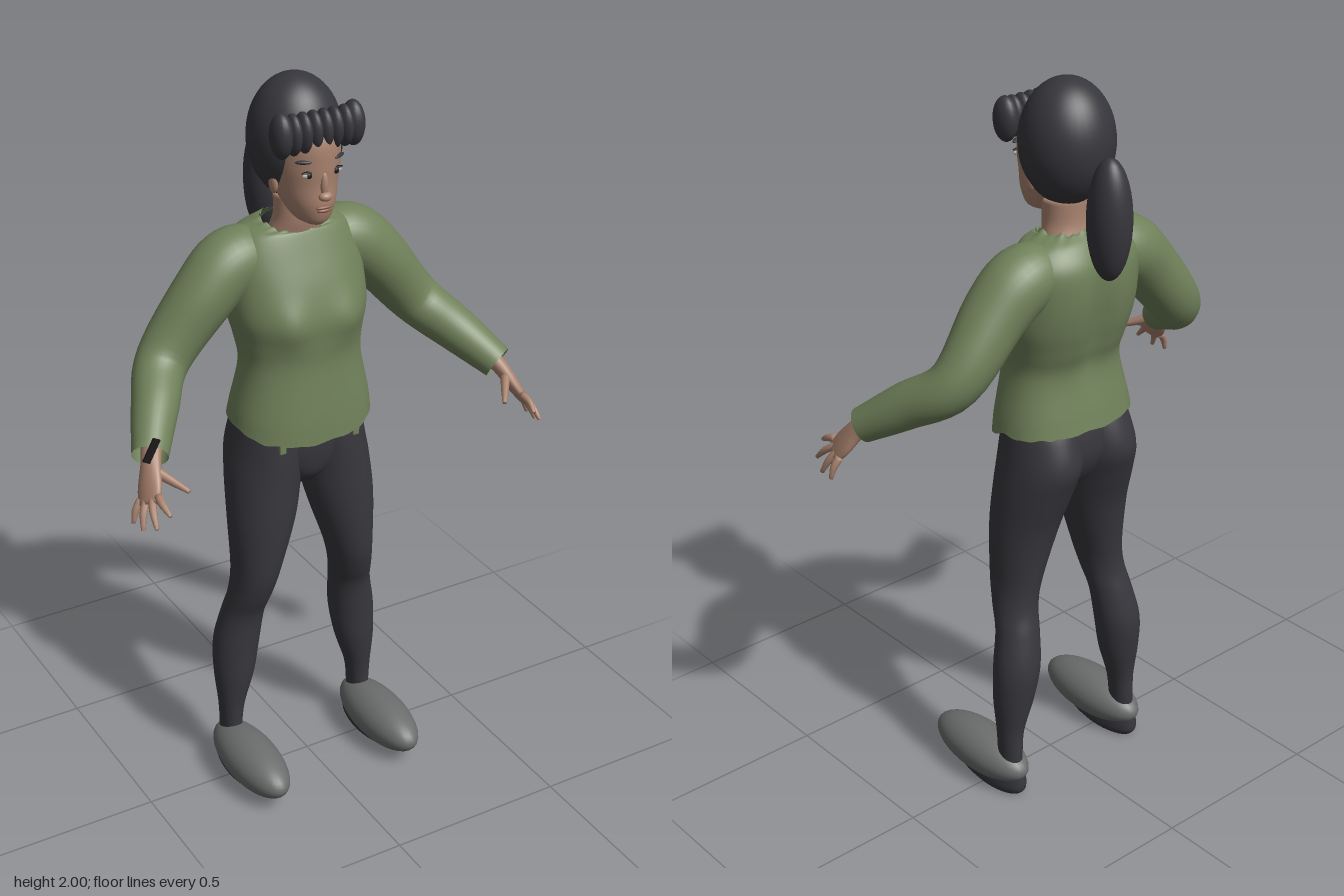
import * as THREE from 'three';

const paint = (name, color, side = THREE.FrontSide) => {
  const m = new THREE.MeshStandardMaterial({ color, side });
  m.name = name;
  return m;
};

// Smoothly resample rows of numbers, each span split into n steps
function smoothRows(rows, n) {
  const size = rows[0].length;
  const spline = new THREE.CubicInterpolant(
    new Float32Array(rows.map((_, i) => i)), new Float32Array(rows.flat()), size);
  const out = [];
  for (let i = 0; i <= (rows.length - 1) * n; i++) out.push(Array.from(spline.evaluate(i / n)));
  return out;
}

// Skin a list of closed rings of points, optionally closing the ends
function skin(rings, capStart = true, capEnd = true) {
  const k = rings[0].length, pos = [], idx = [];
  rings.forEach(r => r.forEach(p => pos.push(p.x, p.y, p.z)));
  for (let i = 0; i < rings.length - 1; i++) for (let j = 0; j < k; j++) {
    const a = i * k + j, b = i * k + (j + 1) % k, c = b + k, d = a + k;
    idx.push(a, b, c, a, c, d);
  }
  const cap = (ring, start, flip) => {
    const c = ring.reduce((s, p) => s.add(p), new THREE.Vector3()).divideScalar(k);
    const m = pos.push(c.x, c.y, c.z) / 3 - 1;
    for (let j = 0; j < k; j++) {
      const a = start + j, b = start + (j + 1) % k;
      idx.push(m, flip ? b : a, flip ? a : b);
    }
  };
  if (capStart) cap(rings[0], 0, true);
  if (capEnd) cap(rings[rings.length - 1], (rings.length - 1) * k, false);
  const g = new THREE.BufferGeometry();
  g.setAttribute('position', new THREE.Float32BufferAttribute(pos, 3));
  g.setIndex(idx);
  g.computeVertexNormals();
  return g;
}

// Horizontal sections from bottom to top: [y, centreX, halfWidth, frontZ, backZ, frontDrop, raggedness]
function loft(rows, { power = 1, warp, caps = true, sides = 40 } = {}) {
  const bend = v => Math.sign(v) * Math.abs(v) ** power;
  return skin(smoothRows(rows, 5).map(([y, cx, rx, zf, zb, drop = 0, rag = 0]) =>
    Array.from({ length: sides }, (_, j) => {
      const t = j / sides * Math.PI * 2, c = Math.cos(t);
      const p = new THREE.Vector3(cx + rx * bend(Math.sin(t)),
        y - drop * Math.max(0, c) + rag * Math.sin(t * 13) * Math.cos(t * 4),
        (zf + zb) / 2 + (zf - zb) / 2 * bend(c));
      if (warp) warp(p, c);
      return p;
    })), caps, caps);
}

// Oval tube along a path: [x, y, z, radius along hint, radius across]
function limb(rows, hint, { caps = true, sides = 20, steps = 6 } = {}) {
  const fine = smoothRows(rows, steps);
  const at = i => new THREE.Vector3(...fine[Math.min(Math.max(i, 0), fine.length - 1)].slice(0, 3));
  return skin(fine.map(([, , , ra, rb], i) => {
    const t = at(i + 1).sub(at(i - 1)).normalize();
    const u = hint.clone().addScaledVector(t, -hint.dot(t)).normalize();
    const v = u.clone().cross(t);
    return Array.from({ length: sides }, (_, j) => {
      const a = j / sides * Math.PI * 2;
      return at(i).addScaledVector(u, ra * Math.sin(a)).addScaledVector(v, rb * Math.cos(a));
    });
  }), caps, caps);
}

export function createModel() {
  const model = new THREE.Group();
  const green = paint('sweater green', 0x70815a, THREE.DoubleSide);
  const dark = paint('trouser charcoal', 0x38373d);
  const hairMat = paint('hair black', 0x36363c);
  const skinMat = paint('skin', 0xa9836f);
  const grey = paint('shoe grey', 0x6b6e6d);
  const lipMat = paint('lip brown', 0x8c6052);
  const white = paint('eye white', 0xb9aaa0);
  const black = paint('iris black', 0x1c191b);

  const add = (name, geometry, material) => {
    const m = new THREE.Mesh(geometry, material);
    m.name = name;
    model.add(m);
    return m;
  };
  const ball = (name, mat, [x, y, z], [a, b, c], detail = 24) => {
    const m = add(name, new THREE.SphereGeometry(1, detail, Math.ceil(detail * 0.7)), mat);
    m.position.set(x, y, z);
    m.scale.set(a, b, c);
    return m;
  };

  // Sweater body with chest and spine shaping, open at hem and collar
  add('sweaterBody', loft([
    [1.095, 0, 0.198, 0.09, -0.18, 0.05, 0.004], [1.14, 0, 0.19, 0.086, -0.172, 0.02, 0],
    [1.25, 0, 0.166, 0.075, -0.155, 0, 0], [1.32, 0, 0.172, 0.078, -0.175, 0, 0],
    [1.39, 0, 0.187, 0.08, -0.195, 0, 0], [1.47, 0, 0.188, 0.06, -0.207, 0, 0],
    [1.55, 0, 0.182, 0.027, -0.203, 0, 0], [1.6, 0, 0.15, 0.005, -0.175, 0, 0],
    [1.622, 0, 0.105, 0, -0.15, 0.015, 0.002], [1.628, 0, 0.086, -0.002, -0.14, 0.024, 0.008],
  ], {
    power: 0.85, caps: false, sides: 72, warp: (p, c) => {
      const g = (d, w) => Math.exp(-((d / w) ** 2));
      if (c > 0) p.z += 0.018 * g(Math.abs(p.x) - 0.09, 0.05) * g(p.y - 1.38, 0.06) * c;
      else p.z -= 0.022 * c * g(p.x, 0.035) * g(p.y - 1.4, 0.17);
    },
  }), green);

  // Head, face and neck
  add('neck', loft([[1.55, 0, 0.085, -0.02, -0.13], [1.6, 0, 0.07, -0.008, -0.12],
    [1.64, 0, 0.06, 0, -0.11], [1.7, 0, 0.06, 0, -0.11]]), skinMat);
  add('head', loft([[1.645, 0, 0.022, 0.062, 0], [1.66, 0, 0.045, 0.076, -0.04],
    [1.7, 0, 0.066, 0.086, -0.09], [1.75, 0, 0.08, 0.084, -0.12], [1.8, 0, 0.087, 0.087, -0.13],
    [1.86, 0, 0.085, 0.085, -0.13], [1.92, 0, 0.06, 0.06, -0.1]]), skinMat);
  ball('noseBridge', skinMat, [0, 1.755, 0.083], [0.01, 0.035, 0.011]);
  ball('noseTip', skinMat, [0, 1.728, 0.09], [0.018, 0.012, 0.014]);
  ball('upperLip', lipMat, [0, 1.699, 0.085], [0.024, 0.005, 0.008], 16);
  ball('lowerLip', lipMat, [0, 1.69, 0.083], [0.019, 0.006, 0.009], 16);

  // Hair cap, ponytail and rolled fringe
  ball('hairCap', hairMat, [0, 1.84, -0.062], [0.121, 0.16, 0.122], 40);
  ball('ponytail', hairMat, [0, 1.678, -0.217], [0.055, 0.158, 0.06], 32);
  for (let i = 0; i < 8; i++) {
    const x = -0.1 + i * 0.2 / 7, end = i === 0 || i === 7;
    ball('fringeRoll', hairMat, [x, 1.888, end ? 0.05 : 0.056],
      end ? [0.028, 0.058, 0.037] : [0.02, 0.053, 0.035], 20);
  }

  for (const s of [1, -1]) {
    const V = (x, y, z) => new THREE.Vector3(x * s, y, z);
    const flip = rows => rows.map(([x, ...r]) => [x * s, ...r]);

    // Eyes, brows and ears
    ball('eye', white, [s * 0.039, 1.784, 0.073], [0.017, 0.008, 0.006], 16);
    ball('iris', black, [s * 0.038, 1.784, 0.076], [0.008, 0.008, 0.005], 14);
    ball('upperLid', black, [s * 0.04, 1.792, 0.074], [0.018, 0.003, 0.006], 14);
    ball('brow', hairMat, [s * 0.05, 1.818, 0.069], [0.021, 0.005, 0.007], 14).rotation.y = s * 0.5;
    ball('ear', skinMat, [s * 0.084, 1.745, -0.02], [0.01, 0.028, 0.018], 16);

    // Sleeve, open at the cuff
    add('sleeve', limb(flip([
      [0.07, 1.53, -0.09, 0.07, 0.07], [0.165, 1.528, -0.088, 0.088, 0.088],
      [0.25, 1.46, -0.082, 0.084, 0.083], [0.375, 1.31, -0.075, 0.067, 0.07],
      [0.45, 1.235, 0.025, 0.06, 0.06], [0.515, 1.165, 0.125, 0.046, 0.046]]),
    V(0.1, 0.3, 1), { caps: false, sides: 32 }), green);

    // Hand: palm, four fingers and a thumb
    const fan = V(0.42, -0.44, -0.8);
    add('palm', limb(flip([[0.495, 1.19, 0.095, 0.03, 0.025], [0.518, 1.155, 0.135, 0.029, 0.021],
      [0.54, 1.108, 0.17, 0.038, 0.017], [0.555, 1.075, 0.195, 0.035, 0.011]]), fan), skinMat);
    const tips = [[0.535, 1.075, 0.272], [0.566, 1.04, 0.258], [0.583, 1.02, 0.215], [0.588, 1.02, 0.17]];
    tips.forEach(([x, y, z], i) => {
      const f = -0.03 + i * 0.02, b = [0.55 + 0.42 * f, 1.088 - 0.44 * f, 0.187 - 0.8 * f];
      const mid = [(b[0] + x) / 2 + 0.004, (b[1] + y) / 2 + 0.004, (b[2] + z) / 2];
      add('finger', limb(flip([[...b, 0.0105, 0.0105], [...mid, 0.0095, 0.0095],
        [x, y, z, 0.0055, 0.0055]]), fan, { sides: 10, steps: 3 }), skinMat);
    });
    add('thumb', limb(flip([[0.525, 1.145, 0.15, 0.016, 0.014], [0.495, 1.125, 0.192, 0.012, 0.011],
      [0.465, 1.106, 0.235, 0.006, 0.006]]), V(0, 1, 0.2), { sides: 10, steps: 3 }), skinMat);

    // Trouser leg with hip, thigh, knee and calf
    add('trouserLeg', loft([
      [0.08, 0.21, 0.03, -0.03, -0.11], [0.13, 0.209, 0.03, -0.03, -0.11],
      [0.2, 0.206, 0.037, -0.027, -0.11], [0.3, 0.195, 0.057, -0.015, -0.127],
      [0.4, 0.185, 0.065, -0.01, -0.137], [0.5, 0.17, 0.06, 0, -0.12],
      [0.57, 0.158, 0.06, 0.028, -0.103], [0.65, 0.145, 0.066, 0.05, -0.105],
      [0.8, 0.122, 0.092, 0.06, -0.13], [0.92, 0.106, 0.1, 0.06, -0.17],
      [1.0, 0.095, 0.098, 0.06, -0.194], [1.08, 0.088, 0.09, 0.055, -0.175],
      [1.14, 0.085, 0.08, 0.05, -0.145],
    ].map(([y, x, ...r]) => [y, x * s, ...r])), dark);

    // Rounded shoe with the dark sole showing below and behind
    ball('shoe', grey, [s * 0.21, 0.075, 0.05], [0.074, 0.067, 0.18], 36);
    add('sole', loft([[0, s * 0.21, 0.042, 0.1, -0.11], [0.02, s * 0.21, 0.052, 0.135, -0.125],
      [0.06, s * 0.21, 0.046, 0.08, -0.122], [0.1, s * 0.21, 0.034, -0.02, -0.114]]), dark);

    // Loose scrap hanging from the front hem
    const scrap = add('hemScrap', new THREE.BoxGeometry(0.018, 0.05, 0.008), green);
    scrap.position.set(s * 0.11, 1.055, 0.065);
  }

  // Trouser seat joining both legs
  add('trouserSeat', loft([[0.885, 0, 0.03, 0.0, -0.08], [0.93, 0, 0.09, 0.04, -0.13],
    [1.0, 0, 0.16, 0.055, -0.165], [1.08, 0, 0.172, 0.056, -0.165],
    [1.15, 0, 0.16, 0.05, -0.14]]), dark);

  // Thin tag standing on the right wrist
  const tag = add('wristTag', new THREE.BoxGeometry(0.02, 0.065, 0.006), black);
  tag.position.set(-0.527, 1.2, 0.16);
  tag.rotation.z = -0.5;

  return model;
}
